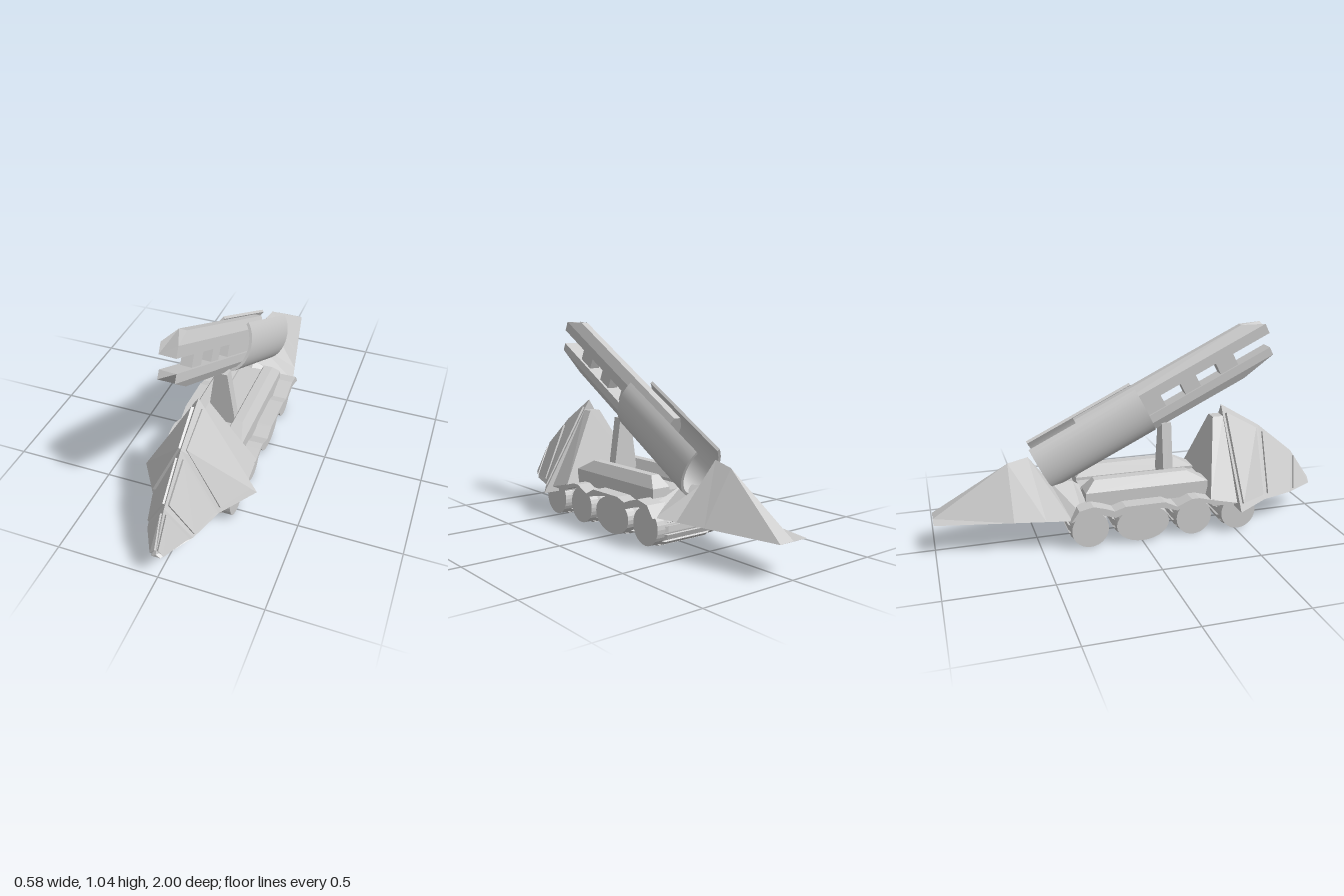
import * as THREE from 'three';
import { toCreasedNormals } from 'three/addons/utils/BufferGeometryUtils.js';
import { ConvexGeometry } from 'three/addons/geometries/ConvexGeometry.js';

const V = (x, y, z) => new THREE.Vector3(x, y, z);
const material = new THREE.MeshStandardMaterial({ color: 0xcccccc, flatShading: true });
const smooth = new THREE.MeshStandardMaterial({ color: 0xcccccc, side: THREE.DoubleSide });

function add(parent, name, geometry, mat = material) {
  const mesh = new THREE.Mesh(geometry, mat);
  mesh.name = name;
  parent.add(mesh);
  return mesh;
}

const hull = (points) => new ConvexGeometry(points.map((p) => V(...p)));
const bothSides = (points) => points.flatMap(([x, y, z]) => [[x, y, z], [-x, y, z]]);

// Solid with triangular sections, front to back: base half width, base y and z, ridge y and z
function ridgeLoft(sections) {
  const rings = sections.map(([w, yb, zb, yr, zr]) => [V(-w, yb, zb), V(w, yb, zb), V(0, yr, zr)]);
  const last = rings.length - 1;
  const pts = [...rings[0], rings[last][2], rings[last][1], rings[last][0]];
  for (let i = 0; i < last; i++) {
    for (let j = 0; j < 3; j++) {
      const k = (j + 1) % 3;
      const a = rings[i][j], b = rings[i][k], c = rings[i + 1][k], d = rings[i + 1][j];
      pts.push(a, d, b, b, d, c);
    }
  }
  const g = new THREE.BufferGeometry().setFromPoints(pts);
  g.computeVertexNormals();
  return g;
}

function extrude(points, depth, close = 0) {
  const shape = new THREE.Shape(points.map(([x, y]) => new THREE.Vector2(x, y)));
  return new THREE.ExtrudeGeometry(shape, { depth, bevelEnabled: false, steps: 1 }).translate(0, 0, close);
}

// Rail along z whose front end follows frontAt(y)
function rail(points, back, frontAt) {
  const g = extrude(points, 1);
  const p = g.attributes.position;
  for (let i = 0; i < p.count; i++) p.setZ(i, p.getZ(i) > 0.5 ? frontAt(p.getY(i)) : back);
  g.computeVertexNormals();
  return g;
}

// Box whose upper end is scaled in x
function taperedBox(w, h, d, top) {
  const g = new THREE.BoxGeometry(w, h, d);
  const p = g.attributes.position;
  for (let i = 0; i < p.count; i++) if (p.getY(i) > 0) p.setX(i, p.getX(i) * top);
  g.computeVertexNormals();
  return g;
}

function buildCab(root) {
  const cab = new THREE.Group();
  cab.name = 'cab';
  root.add(cab);
  const sections = [
    [0.02, 0.135, 1.0, 0.15, 1.0],
    [0.11, 0.135, 0.845, 0.325, 0.89],
    [0.165, 0.135, 0.67, 0.49, 0.69],
    [0.288, 0.135, 0.485, 0.62, 0.475],
  ];
  add(cab, 'cabShell', ridgeLoft(sections));

  // Raised armour panels on each facet
  for (const side of [1, -1]) {
    for (let i = 0; i < 3; i++) {
      const [w0, y0, z0, r0, q0] = sections[i], [w1, y1, z1, r1, q1] = sections[i + 1];
      const b0 = V(w0, y0, z0), b1 = V(w1, y1, z1), t0 = V(0, r0, q0), t1 = V(0, r1, q1);
      const at = (u, v) => b0.clone().lerp(b1, u).lerp(t0.clone().lerp(t1, u), v);
      const normal = at(0.9, 0.5).sub(at(0.1, 0.5)).cross(at(0.5, 0.9).sub(at(0.5, 0.1))).normalize();
      if (normal.x < 0) normal.negate();
      const corners = [at(0.08, 0.07), at(0.9, 0.07), at(0.92, 0.93), at(0.1, 0.93)];
      const pts = corners.flatMap((c) => [-0.008, 0.01].map((s) => c.clone().addScaledVector(normal, s)));
      add(cab, 'armourPanel', hull(pts.map((p) => [p.x * side, p.y, p.z])));
    }
  }

  // Sloping housing behind the cab
  add(cab, 'cabBack', hull(bothSides([
    [0.235, 0.165, 0.49], [0.235, 0.165, 0.35], [0.235, 0.2, 0.34],
    [0.03, 0.565, 0.475], [0.03, 0.565, 0.42],
  ])));
}

function buildChassis(root) {
  // Wavy fender plate arching over the wheels, as z and y
  const profile = [
    [0.36, 0.2], [0.34, 0.2], [0.28, 0.217], [0.24, 0.217], [0.165, 0.185], [0.1, 0.217], [-0.1, 0.217],
    [-0.155, 0.2], [-0.2, 0.218], [-0.26, 0.235], [-0.33, 0.22], [-0.37, 0.165],
    [-0.33, 0.182], [-0.267, 0.2], [-0.2, 0.182], [-0.15, 0.165], [-0.1, 0.185], [0, 0.202],
    [0.1, 0.185], [0.165, 0.165], [0.2, 0.182], [0.267, 0.2], [0.33, 0.182], [0.36, 0.165],
  ];
  const fender = extrude(profile.map(([z, y]) => [-z, y]), 0.47, -0.235).rotateY(Math.PI / 2);
  add(root, 'fenderPlate', fender);

  // Wedge tail with a saddle under the launcher
  add(root, 'tail', ridgeLoft([
    [0.235, 0.2, -0.2, 0.205, -0.2],
    [0.235, 0.2, -0.26, 0.25, -0.26],
    [0.222, 0.195, -0.31, 0.285, -0.31],
    [0.212, 0.165, -0.36, 0.3, -0.43],
    [0.187, 0.165, -0.48, 0.435, -0.53],
    [0.156, 0.165, -0.63, 0.412, -0.63],
    [0.08, 0.165, -1.0, 0.166, -1.0],
  ]));

  // Deck with two bevelled tanks and the launcher mast
  add(root, 'deck', new THREE.BoxGeometry(0.16, 0.07, 0.63).translate(0, 0.225, 0.035));
  for (const s of [1, -1]) {
    const points = [];
    for (const x of [0.06, 0.16]) for (const y of [0.2, 0.275]) for (const z of [0.35, -0.28]) points.push([x * s, y, z]);
    for (const x of [0.085, 0.13]) for (const z of [0.245, -0.23]) points.push([x * s, 0.33, z]);
    add(root, 'deckTank', hull(points));
  }
  add(root, 'mast', taperedBox(0.16, 0.33, 0.05, 0.4)).position.set(0, 0.39, 0.17);
}

function buildWheels(root) {
  const wheels = [[0.508, 0.092], [0.267, 0.092], [0, 0.135], [-0.267, 0.092]];
  for (const [z, rz] of wheels) {
    const wheel = new THREE.Group();
    wheel.name = 'wheel';
    wheel.position.set(0, 0.1, z);
    root.add(wheel);
    const ry = 0.092, count = 14;
    const drum = new THREE.CylinderGeometry(1, 1, 0.39, 28).rotateZ(Math.PI / 2).scale(1, ry, rz);
    add(wheel, 'drum', drum);
    // Tread slats around the drum
    for (let i = 0; i < count; i++) {
      const a = ((i + 0.5) / count) * Math.PI * 2;
      const slat = add(wheel, 'treadSlat', taperedBox(0.32, 0.014, 0.24 * (rz + ry) / 2 + 0.006, 0.85));
      slat.position.set(0, Math.cos(a) * ry, Math.sin(a) * rz);
      slat.rotation.x = Math.atan2(Math.sin(a) / rz, Math.cos(a) / ry);
    }
  }
}

function buildLauncher(root) {
  const launcher = new THREE.Group();
  launcher.name = 'launcher';
  launcher.position.set(0.007, 0.75, 0);
  launcher.rotation.set(-0.474, -0.06, 0, 'YXZ');
  root.add(launcher);

  // Open-topped cradle
  const ring = [];
  const arc = (rx, ry, from, to) => {
    for (let i = 0; i <= 24; i++) {
      const a = from + ((to - from) * i) / 24;
      ring.push([rx * Math.sin(a), -0.113 + ry * Math.cos(a)]);
    }
  };
  const open = 0.7;
  arc(0.102, 0.147, open, Math.PI * 2 - open);
  arc(0.088, 0.133, Math.PI * 2 - open, open);
  add(launcher, 'cradle', toCreasedNormals(extrude(ring, 0.59, -0.59), 0.6), smooth);

  // Upper and lower rails with pointed fronts
  add(launcher, 'upperRail', rail(
    [[-0.04, -0.103], [0.04, -0.103], [0.04, -0.05], [0.018, 0], [-0.018, 0], [-0.04, -0.05]],
    -0.33, (y) => (y > -0.02 ? 0.62 : 0.728)));
  add(launcher, 'lowerRail', rail(
    [[-0.04, -0.212], [-0.016, -0.255], [0.016, -0.255], [0.04, -0.212], [0.04, -0.17], [-0.04, -0.17]],
    -0.33, (y) => (y < -0.23 ? 0.52 : 0.7)));

  // Spacer blocks between the rails
  for (const [from, to] of [[0.42, 0.52], [0.217, 0.305], [-0.33, 0.103]]) {
    add(launcher, 'railSpacer', new THREE.BoxGeometry(0.055, 0.08, to - from))
      .position.set(0, -0.137, (from + to) / 2);
  }
}

export function createModel() {
  const root = new THREE.Group();
  root.name = 'launcherTruck';
  buildCab(root);
  buildChassis(root);
  buildWheels(root);
  buildLauncher(root);
  return root;
}
